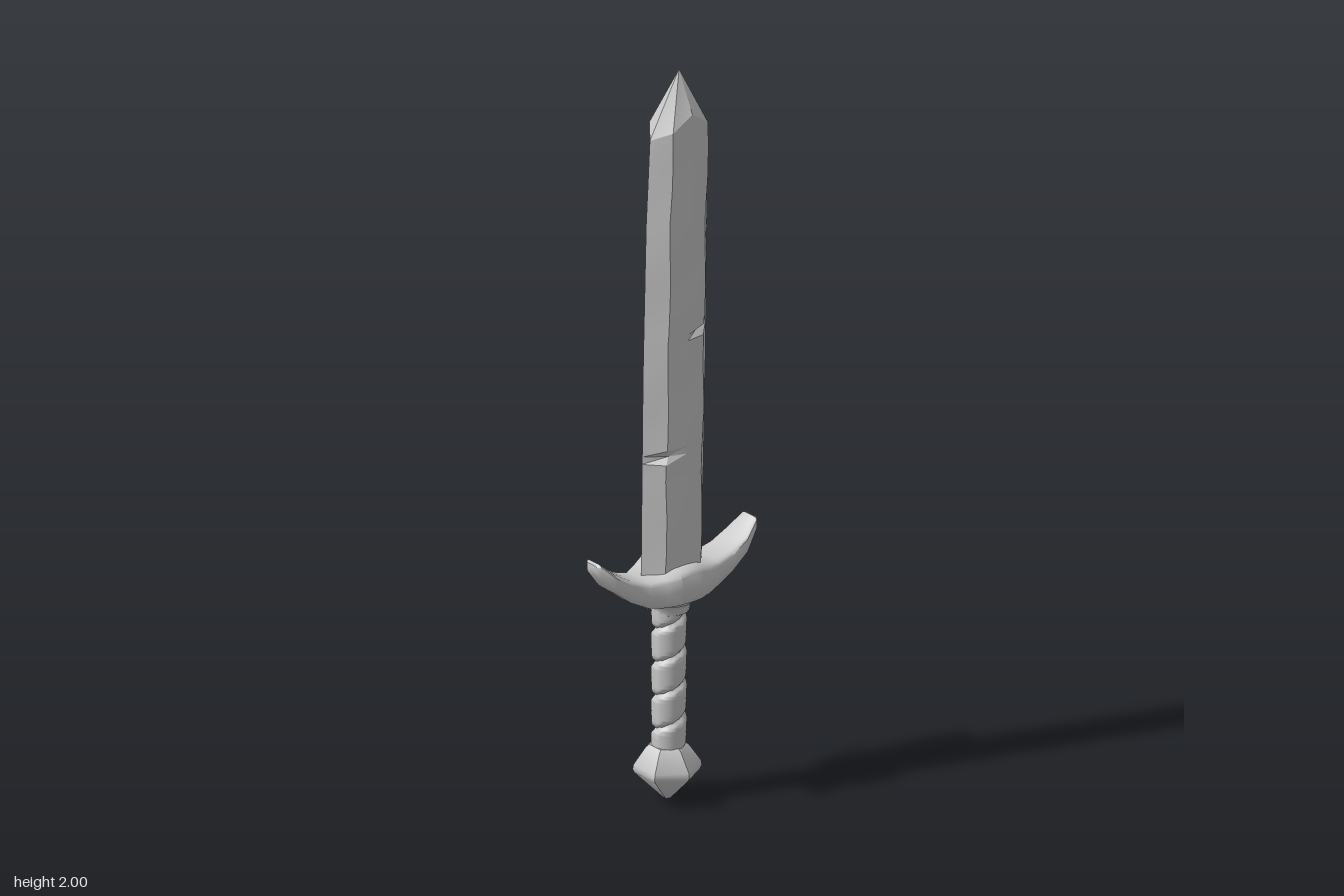
import * as THREE from 'three';
import { toCreasedNormals } from 'three/addons/utils/BufferGeometryUtils.js';

// Skin between closed rings of [x, y, z] points, with both ends capped.
function loft(rings, crease) {
  const n = rings[0].length, pos = rings.flat(2), index = [];
  for (let r = 0; r < rings.length - 1; r++) {
    for (let i = 0; i < n; i++) {
      const a = r * n + i, b = r * n + (i + 1) % n;
      index.push(a, b, b + n, a, b + n, a + n);
    }
  }
  [[0, true], [rings.length - 1, false]].forEach(([r, flip]) => {
    const c = pos.length / 3;
    for (let k = 0; k < 3; k++) pos.push(rings[r].reduce((s, p) => s + p[k], 0) / n);
    for (let i = 0; i < n; i++) {
      const a = r * n + i, b = r * n + (i + 1) % n;
      index.push(c, flip ? b : a, flip ? a : b);
    }
  });
  const g = new THREE.BufferGeometry();
  g.setAttribute('position', new THREE.Float32BufferAttribute(pos, 3));
  g.setIndex(index);
  return toCreasedNormals(g, crease);
}

// Linear interpolation through [position, value] stops.
function along(stops, t) {
  for (let i = 1; i < stops.length; i++) {
    const [a, va] = stops[i - 1], [b, vb] = stops[i];
    if (t <= b) return va + (vb - va) * Math.max(0, (t - a) / (b - a));
  }
  return stops[stops.length - 1][1];
}

// Bevelled blade, leaning slightly, with hammered wobble and chips on the bevels.
function bladeGeometry() {
  const ys = [0.6, 0.7, 0.8, 0.9, 0.945, 0.965, 0.985, 1.08, 1.18, 1.275, 1.29, 1.305,
    1.4, 1.5, 1.6, 1.7, 1.78];
  const ring = (y, lift) => {
    const left = along([[0.6, -0.1], [1.2, -0.093], [1.6, -0.083], [1.83, -0.071]], y);
    const right = along([[0.6, 0.095], [1.2, 0.108], [1.83, 0.116]], y);
    const mid = (left + right) / 2, wob = 0.003 * Math.sin(y * 19);
    const chipR = Math.abs(y - 1.29) < 0.004 ? 0.016 : 0;
    const chipL = Math.abs(y - 0.965) < 0.004 ? 0.012 : 0;
    const cr = mid + 0.056 + wob - chipR, cl = mid - 0.056 + wob + chipL;
    const zr = 0.048 - chipR * 0.7, zl = 0.048 - chipL * 0.7 - Math.abs(wob);
    const yc = y + lift * 0.4, ym = y + lift;
    return [[right, y, 0], [cr, yc, -zr], [mid, ym, -0.054], [cl, yc, -zl],
      [left, y, 0], [cl, yc, zl], [mid, ym, 0.054], [cr, yc, zr]];
  };
  const rings = ys.map((y) => ring(y, 0));
  const shoulder = ring(1.83, 0.065);
  rings.push(shoulder);
  rings.push(shoulder.map(([x, , z]) => [0.023 + (x - 0.023) * 0.01, 2, z * 0.01]));
  return loft(rings, 0.35);
}

// Curved crossguard: rounded-box sections swept from one horn to the other.
function guardGeometry() {
  const sections = [ // x, bottom, top, half depth
    [-0.258, 0.7, 0.716, 0.02], [-0.25, 0.682, 0.72, 0.03], [-0.21, 0.632, 0.685, 0.047],
    [-0.16, 0.592, 0.655, 0.05], [-0.11, 0.563, 0.638, 0.055], [-0.07, 0.558, 0.645, 0.073],
    [-0.035, 0.558, 0.658, 0.087], [0, 0.558, 0.662, 0.09], [0.035, 0.558, 0.657, 0.087],
    [0.07, 0.558, 0.643, 0.073], [0.11, 0.563, 0.636, 0.055], [0.16, 0.588, 0.648, 0.05],
    [0.21, 0.625, 0.675, 0.045], [0.25, 0.673, 0.709, 0.03], [0.257, 0.69, 0.706, 0.022],
  ];
  const pow = (v) => Math.sign(v) * Math.pow(Math.abs(v), 0.4);
  return loft(sections.map(([x, lo, hi, d]) => Array.from({ length: 16 }, (_, i) => {
    const t = (i / 16) * Math.PI * 2;
    return [x, (lo + hi) / 2 + pow(Math.cos(t)) * (hi - lo) / 2, pow(Math.sin(t)) * d];
  })), 0.7);
}

// Grip wrapped in a spiral: each turn bulges and ends in a narrow groove.
function gripGeometry() {
  const g = new THREE.CylinderGeometry(1, 1, 0.4, 32, 100, true);
  const p = g.attributes.position;
  for (let i = 0; i < p.count; i++) {
    const x = p.getX(i), y = p.getY(i), z = p.getZ(i);
    const turn = y / 0.092 + Math.atan2(z, x) / (Math.PI * 2);
    const f = turn - Math.floor(turn);
    const groove = Math.exp(-Math.pow(Math.min(f, 1 - f) / 0.09, 2));
    const r = 0.0445 + 0.003 * (f - 0.5) - 0.009 * groove;
    p.setXYZ(i, x * r, y, z * r);
  }
  return toCreasedNormals(g, 0.8);
}

// Turned part from [radius, height] points.
function turned(profile, sides, crease) {
  const points = profile.map(([r, y]) => new THREE.Vector2(r, y));
  return toCreasedNormals(new THREE.LatheGeometry(points, sides), crease);
}

export function createModel() {
  const model = new THREE.Group();
  model.name = 'sword';
  const steel = new THREE.MeshStandardMaterial({ color: 0xc8c8c8 });
  steel.name = 'grey steel';
  const add = (name, geometry, x = 0, y = 0) => {
    const mesh = new THREE.Mesh(geometry, steel);
    mesh.name = name;
    mesh.position.set(x, y, 0);
    model.add(mesh);
  };

  add('blade', bladeGeometry());
  add('crossguard', guardGeometry());
  add('collar', turned([[0.038, 0.515], [0.048, 0.522], [0.052, 0.54], [0.064, 0.553],
    [0.064, 0.57]], 16, 0.6), -0.005);
  add('grip', gripGeometry(), -0.01, 0.34);
  // Six-sided pommel with corners to front and back
  add('pommel', turned([[0, 0], [0.012, 0.006], [0.084, 0.078], [0.088, 0.088], [0.086, 0.1],
    [0.055, 0.146], [0.046, 0.153], [0, 0.155]], 6, 0.5), -0.015);
  return model;
}
